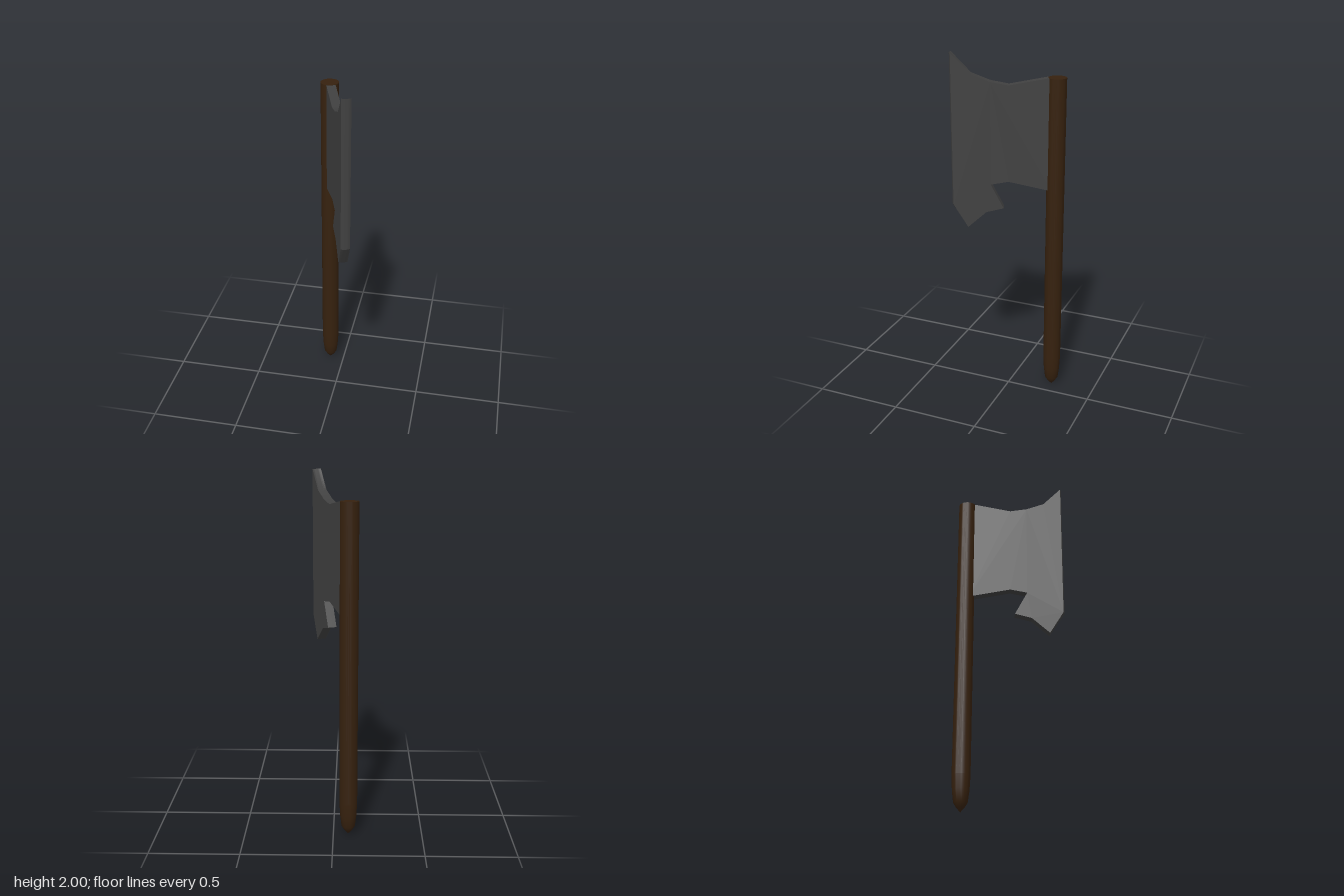
import * as THREE from 'three';
import { toCreasedNormals } from 'three/addons/utils/BufferGeometryUtils.js';

const THICKNESS = 0.05;
const REACH = 0.5625; // handle axis to cutting edge

// Round shaft with a pointed foot
function makeHandle() {
  const profile = [
    [0, 0.005], [0.022, 0.03], [0.038, 0.056], [0.046, 0.12], [0.05, 0.2], [0.05, 1.872], [0, 1.872],
  ].map(([r, y]) => new THREE.Vector2(r, y));
  const geometry = toCreasedNormals(new THREE.LatheGeometry(profile, 32), Math.PI / 5);
  const mesh = new THREE.Mesh(geometry, new THREE.MeshStandardMaterial({ color: 0x36210e }));
  mesh.name = 'handle';
  return mesh;
}

// Flat bearded blade: outline as (distance from the handle axis, height)
function makeBlade() {
  const outline = [
    [0.02, 1.255 - 0.005], [0.05, 1.253], [0.257, 1.298], [0.355, 1.28],
    [0.284, 1.142], [0.38, 1.118], [0.483, 1.027], [REACH, 1.16],
    [REACH, 2.0], [0.458, 1.89], [0.355, 1.85], [0.257, 1.832], [0.05, 1.871], [0.02, 1.871],
  ].map(([u, y]) => new THREE.Vector2(u, y));
  const solid = new THREE.ExtrudeGeometry(new THREE.Shape(outline), {
    depth: THICKNESS, steps: 6, bevelEnabled: false,
  });
  solid.translate(0, 0, -THICKNESS / 2);

  // Bulge the cutting edge slightly
  const p = solid.attributes.position;
  for (let i = 0; i < p.count; i++) {
    if (p.getX(i) > REACH - 0.01) {
      const t = p.getZ(i) / (THICKNESS / 2);
      p.setX(i, REACH + 0.008 * (1 - t * t));
    }
  }
  const mesh = new THREE.Mesh(
    toCreasedNormals(solid, Math.PI / 7),
    new THREE.MeshStandardMaterial({ color: 0x404040 }),
  );
  mesh.name = 'blade';
  mesh.rotation.y = THREE.MathUtils.degToRad(-70.3);
  return mesh;
}

export function createModel() {
  const axe = new THREE.Group();
  axe.name = 'axe';
  const parts = new THREE.Group();
  parts.name = 'axeParts';
  parts.add(makeHandle(), makeBlade());
  parts.position.set(-0.084, 0, -0.245);
  axe.add(parts);
  return axe;
}
